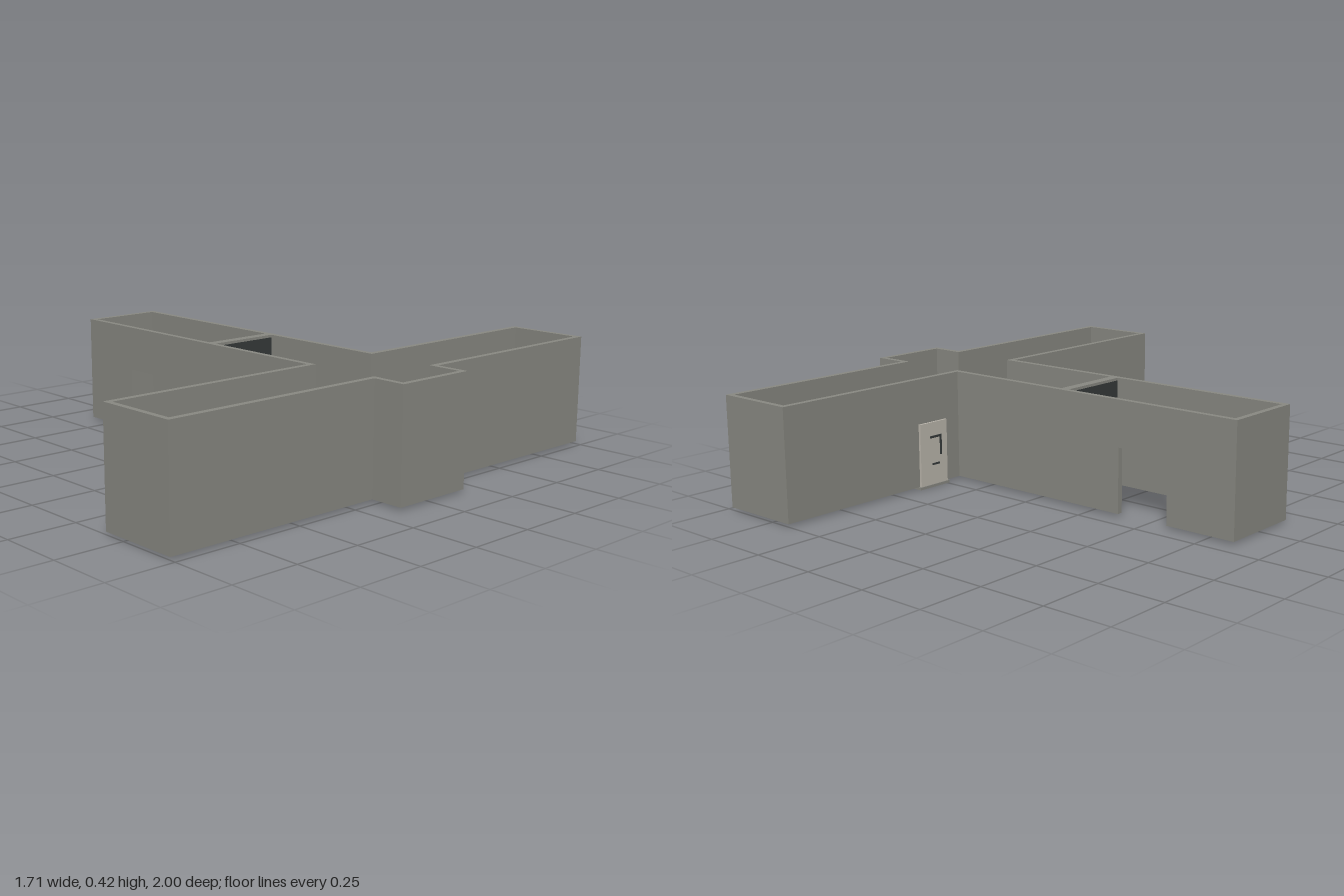
import * as THREE from 'three';

const mat = (name, color) => {
  const m = new THREE.MeshStandardMaterial({ color });
  m.name = name;
  return m;
};

export function createModel() {
  const wallGrey = mat('wall grey', 0x8a8a83);
  const doorBeige = mat('door beige', 0xbdb8ae);
  const charcoal = mat('charcoal', 0x363b3b);

  const root = new THREE.Group();
  root.name = 'corridorModule';
  const BASE = 0.01, TOP = 0.42, HEAD = 0.25;

  // Box given by its limits on each axis
  const block = (name, material, x0, x1, y0, y1, z0, z1, parent = root) => {
    const mesh = new THREE.Mesh(new THREE.BoxGeometry(x1 - x0, y1 - y0, z1 - z0), material);
    mesh.position.set((x0 + x1) / 2, (y0 + y1) / 2, (z0 + z1) / 2);
    mesh.name = name;
    parent.add(mesh);
    return mesh;
  };
  const wall = (name, x0, x1, z0, z1) => block(name, wallGrey, x0, x1, BASE, TOP, z0, z1);

  // Upright panel from a to b with a doorway from c to d, extruded along +z
  const doorwayPanel = (name, material, a, b, c, d, top, depth) => {
    const s = new THREE.Shape();
    [[a, BASE], [c, BASE], [c, HEAD], [d, HEAD], [d, BASE], [b, BASE], [b, top], [a, top]]
      .forEach(([u, v], i) => (i ? s.lineTo(u, v) : s.moveTo(u, v)));
    const mesh = new THREE.Mesh(new THREE.ExtrudeGeometry(s, { depth, bevelEnabled: false }), material);
    mesh.name = name;
    root.add(mesh);
    return mesh;
  };

  // Long corridor: two side walls with facing openings, and its end wall
  doorwayPanel('longWallFront', wallGrey, -0.855, 0.412, -0.58, -0.37, TOP, 0.021).position.z = 0.125;
  doorwayPanel('longWallBack', wallGrey, -0.855, 0.412, -0.58, -0.37, TOP, 0.021).position.z = -0.175;
  wall('longEndWall', -0.855, -0.834, -0.154, 0.125);

  // Cross corridor
  wall('crossWallInnerFront', 0.412, 0.434, 0.125, 0.98);
  wall('crossWallInnerBack', 0.412, 0.434, -0.98, -0.154);
  wall('crossWallOuterFront', 0.706, 0.728, 0.125, 0.98);
  wall('crossWallOuterBack', 0.706, 0.728, -0.98, -0.15);
  wall('crossEndFront', 0.412, 0.728, 0.98, 1);
  wall('crossEndBack', 0.412, 0.728, -1, -0.98);

  // Alcove
  wall('alcoveFront', 0.728, 0.855, 0.126, 0.147);
  wall('alcoveBack', 0.728, 0.855, -0.17, -0.15);
  wall('alcoveEnd', 0.834, 0.855, -0.15, 0.126);

  // Partition with a doorway, capped in the wall colour
  const partition = doorwayPanel('partition', charcoal, -0.125, 0.154, -0.06, 0.09, TOP - 0.01, 0.035);
  partition.rotation.y = Math.PI / 2;
  partition.position.x = -0.126;
  block('partitionCap', wallGrey, -0.126, -0.091, TOP - 0.01, TOP, -0.154, 0.125);

  // Open double door leaves, hinged on the partition
  for (const [z, turn] of [[-0.092, -0.07], [0.062, 0.05]]) {
    const hinge = new THREE.Group();
    hinge.name = 'doorLeaf';
    hinge.position.set(-0.091, 0, z);
    hinge.rotation.y = turn;
    block('leafPanel', charcoal, 0, 0.07, BASE, HEAD, -0.003, 0.003, hinge);
    root.add(hinge);
  }

  // Closed doors in the cross corridor's inner wall
  for (const z of [-0.315, 0.28, 0.74]) {
    const door = new THREE.Group();
    door.name = 'door';
    door.position.z = z;
    block('threshold', wallGrey, 0.4, 0.444, 0, BASE, -0.075, 0.075, door);
    block('doorPanel', doorBeige, 0.403, 0.441, BASE, HEAD, -0.068, 0.068, door);
    // Fittings on both faces
    for (const x of [0.4, 0.441]) {
      block('pullBar', charcoal, x, x + 0.003, 0.12, 0.19, 0.03, 0.038, door);
      block('topBar', charcoal, x, x + 0.003, 0.19, 0.198, -0.02, 0.038, door);
      block('lowerBar', charcoal, x, x + 0.003, 0.085, 0.092, -0.01, 0.025, door);
    }
    root.add(door);
  }
  return root;
}
